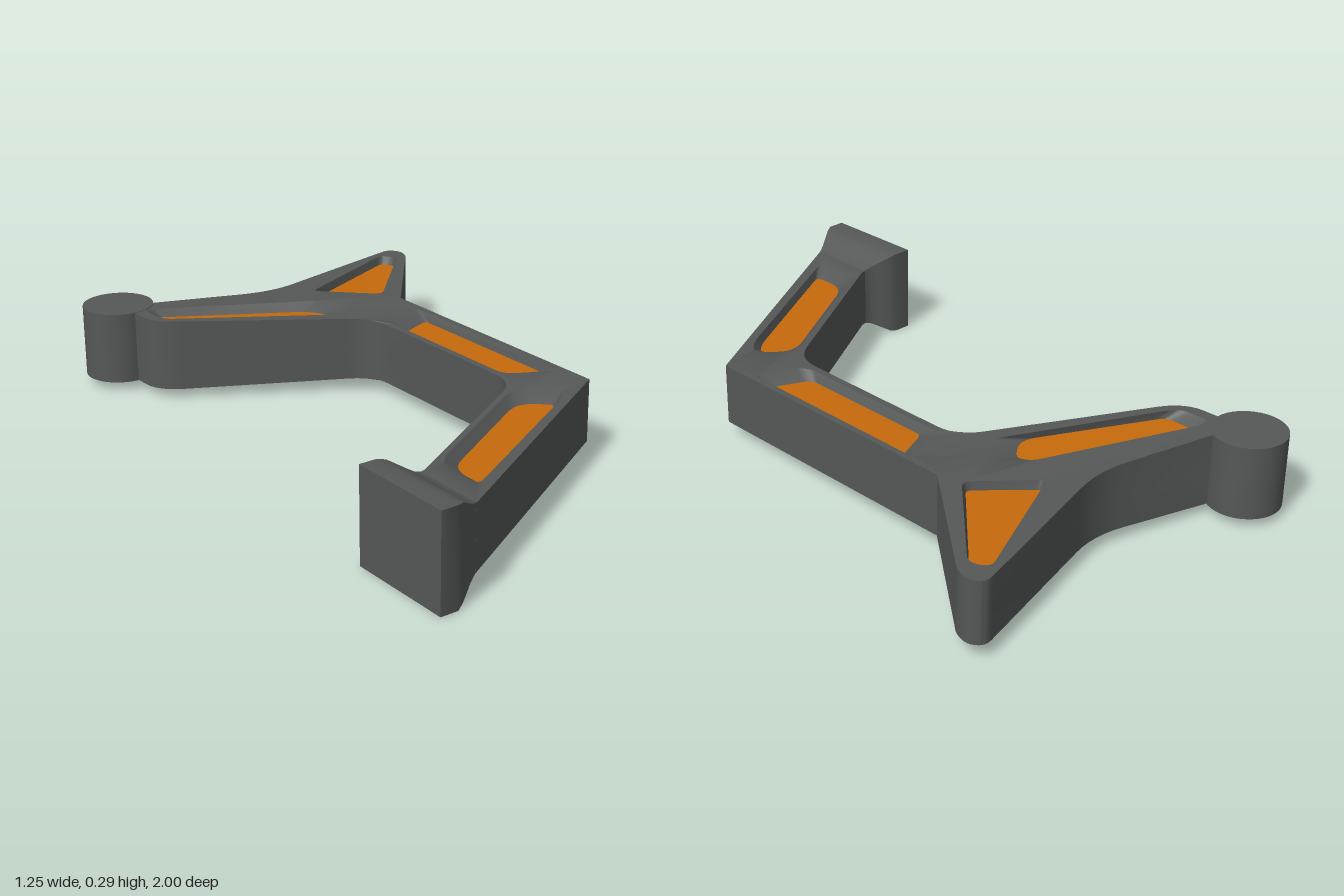
import * as THREE from 'three';
import { mergeGeometries, toCreasedNormals } from 'three/addons/utils/BufferGeometryUtils.js';

const MID = 0.143, HALF = 0.097, DEPTH = 0.026;

// Polygon of [x, z, cornerRadius] -> rounded ring of Vector2(x, -z), counter-clockwise
function roundedRing(corners) {
  const pts = [];
  const v = corners.map(([x, z]) => new THREE.Vector2(x, -z));
  corners.forEach(([, , r = 0], i) => {
    const p = v[i], prev = v[(i + v.length - 1) % v.length], next = v[(i + 1) % v.length];
    if (!r) return pts.push(p);
    const cut = (q) => p.clone().lerp(q, Math.min(r / p.distanceTo(q), 0.49));
    pts.push(...new THREE.QuadraticBezierCurve(cut(prev), p, cut(next)).getPoints(6));
  });
  return THREE.ShapeUtils.isClockWise(pts) ? pts.reverse() : pts;
}

// The rear-left arm thickens slightly toward its end
function lift(x, z) {
  return z < -0.3 ? 0.016 * THREE.MathUtils.clamp((0.2 - x) / 0.6, 0, 1) : 0;
}

// Ring at a height above the middle plane, following the arm's taper
const at = (ring, h, tapered = true) =>
  ring.map((p) => new THREE.Vector3(p.x, h + (tapered ? lift(p.x, -p.y) : 0), -p.y));

function fromTriangles(points) {
  return new THREE.BufferGeometry().setFromPoints(points);
}

// Wall between two closed rings of equal length
function strip(lo, up) {
  const tris = [];
  lo.forEach((a, i) => {
    const j = (i + 1) % lo.length;
    tris.push(a, lo[j], up[j], a, up[j], up[i]);
  });
  return fromTriangles(tris);
}

// Flat face with holes, laid horizontally at the given height
function face(ring, holes, h) {
  const shape = new THREE.Shape(ring);
  shape.holes = holes.map((r) => new THREE.Path(r));
  const g = new THREE.ShapeGeometry(shape).rotateX(-Math.PI / 2).toNonIndexed();
  g.deleteAttribute('uv');
  g.deleteAttribute('normal');
  const p = g.attributes.position;
  for (let i = 0; i < p.count; i++) p.setY(i, h + lift(p.getX(i), p.getZ(i)));
  return g;
}

// Adds the underside by reflecting an upper half in the middle plane
function bothHalves(geo) {
  const p = geo.attributes.position, pts = [];
  for (let i = 0; i < p.count; i += 3) {
    for (const k of [0, 2, 1]) pts.push(new THREE.Vector3(p.getX(i + k), -p.getY(i + k), p.getZ(i + k)));
  }
  return toCreasedNormals(mergeGeometries([geo, fromTriangles(pts)]), 0.6);
}

const outline = [
  [-0.47, 0.71], [-0.45, 0.705], [0.125, 0.365, 0.08], [0.125, -0.318, 0.08],
  [-0.472, -0.662, 0.08], [-0.475, -0.79], [-0.46, -0.87], [-0.39, -0.836],
  [0, -0.731, 0.1], [0.595, -0.89, 0.03], [0.625, -0.85, 0.03], [0.61, -0.8, 0.015],
  [0.318, -0.435], [0.318, 0.48], [-0.47, 0.94],
];

// Pocket rims and floors, matched corner for corner
const pockets = {
  frontArm: {
    rim: [[-0.4, 0.86, 0.04], [0.155, 0.545, 0.04], [0.2, 0.49, 0.03], [0.1, 0.4, 0.08], [-0.4, 0.695, 0.07]],
    floor: [[-0.355, 0.825, 0.03], [0.11, 0.56, 0.03], [0.15, 0.52, 0.02], [0.07, 0.448, 0.07], [-0.355, 0.7, 0.06]],
  },
  middleArm: {
    rim: [[0.147, -0.265, 0.03], [0.297, -0.33, 0.03], [0.297, 0.375, 0.03], [0.147, 0.3, 0.04]],
    floor: [[0.162, -0.21, 0.02], [0.288, -0.262, 0.025], [0.288, 0.318, 0.025], [0.162, 0.262, 0.03]],
  },
  rearLeftArm: {
    rim: [[-0.435, -0.79, 0.04], [0.09, -0.56, 0.05], [0.15, -0.475, 0.04], [0.085, -0.395, 0.05], [-0.435, -0.672, 0.04]],
    floor: [[-0.4, -0.762, 0.02], [0.03, -0.555, 0.04], [0.07, -0.495, 0.03], [-0.01, -0.432, 0.05], [-0.4, -0.65, 0.03]],
  },
  rearRightArm: {
    rim: [[0.125, -0.662, 0.025], [0.54, -0.852, 0.03], [0.568, -0.795, 0.03], [0.295, -0.505, 0.03]],
    floor: [[0.138, -0.66, 0.02], [0.53, -0.838, 0.02], [0.556, -0.79, 0.02], [0.29, -0.515, 0.02]],
  },
};

export function createModel() {
  const model = new THREE.Group();
  model.name = 'bracket';
  const charcoal = new THREE.MeshStandardMaterial({ color: 0x565858 });
  const orange = new THREE.MeshStandardMaterial({ color: 0xc66a0c });
  const add = (name, geo, mat, y = MID) => {
    const mesh = new THREE.Mesh(geo, mat);
    mesh.name = name;
    mesh.position.y = y;
    model.add(mesh);
    return mesh;
  };

  // Branched frame with sloping pockets on both faces
  const ring = roundedRing(outline);
  const parts = [strip(at(ring, 0, false), at(ring, HALF))];
  const rims = [];
  for (const [name, { rim, floor }] of Object.entries(pockets)) {
    const r = roundedRing(rim), f = roundedRing(floor);
    rims.push(r);
    parts.push(strip(at(r, HALF), at(f, HALF - DEPTH)));
    add(name + 'Inlay', bothHalves(face(f, [], HALF - DEPTH)), orange);
  }
  parts.push(face(ring, rims, HALF));
  add('frame', bothHalves(mergeGeometries(parts)), charcoal);

  // Flared front foot: sections of [x, inner z, outer z, half height]
  const sections = [
    [-0.625, 0.662, 1, 0.143], [-0.57, 0.662, 1, 0.143], [-0.545, 0.668, 0.985, 0.137],
    [-0.52, 0.686, 0.97, 0.122], [-0.5, 0.7, 0.957, 0.11], [-0.485, 0.708, 0.949, 0.102],
    [-0.467, 0.71, 0.938, HALF],
  ].map(([x, z0, z1, h]) =>
    [[-h, z0], [h, z0], [h, z1], [-h, z1]].map(([y, z]) => new THREE.Vector3(x, y, z)));
  const foot = sections.slice(1).map((s, i) => strip(sections[i], s));
  const [a, b, c, d] = sections[0];
  foot.push(fromTriangles([a, d, c, a, c, b]));
  add('frontFoot', toCreasedNormals(mergeGeometries(foot), 0.7), charcoal);

  // Round post at the end of the rear-left arm
  const post = add('rearPost', new THREE.CylinderGeometry(0.112, 0.112, 0.228, 40), charcoal);
  post.position.x = -0.475;
  post.position.z = -0.888;

  return model;
}
